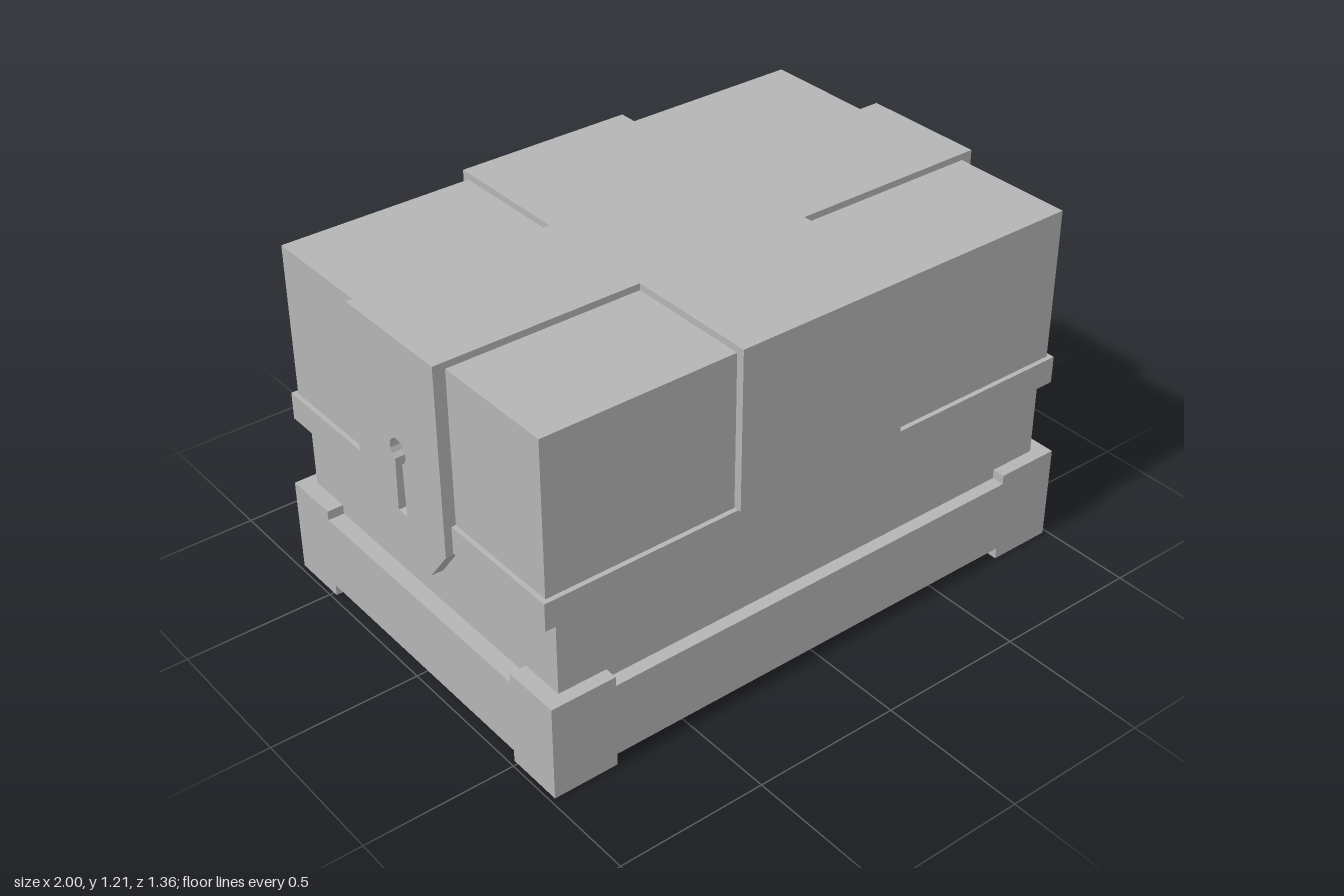
import * as THREE from 'three';

export function createModel() {
  const model = new THREE.Group();
  model.name = 'strappedChest';
  const stone = new THREE.MeshStandardMaterial({ color: 0xb4b4b4 });
  stone.name = 'plainGrey';

  const add = (name, geometry, parent = model) => {
    const mesh = new THREE.Mesh(geometry, stone);
    mesh.name = name;
    parent.add(mesh);
    return mesh;
  };
  // Box centred on the vertical axis, from half sizes and a height range
  const block = (name, hx, hz, y0, y1) => {
    const mesh = add(name, new THREE.BoxGeometry(hx * 2, y1 - y0, hz * 2));
    mesh.position.y = (y0 + y1) / 2;
    return mesh;
  };
  const outline = (points) => new THREE.Shape(points.map(([x, y]) => new THREE.Vector2(x, y)));
  const extrude = (shape, depth) =>
    new THREE.ExtrudeGeometry(shape, { depth, bevelEnabled: false, curveSegments: 6 });

  // Stacked body
  block('plinth', 0.985, 0.68, 0.04, 0.293);
  block('lowerBody', 0.93, 0.637, 0.293, 0.58);
  block('lidRim', 0.975, 0.653, 0.577, 0.67);
  block('lid', 0.96, 0.637, 0.67, 1.183);

  // Feet and raised plinth corners
  for (const sx of [-1, 1]) for (const sz of [-1, 1]) {
    for (const [name, y0, y1] of [['foot', 0, 0.04], ['plinthCorner', 0.293, 0.325]]) {
      block(name, 0.11, 0.098, y0, y1).position.set(sx * 0.875, (y0 + y1) / 2, sz * 0.582);
    }
  }

  // Cross of straps over the lid
  const a = 0.307, b = 0.215, x = 0.96, z = 0.637;
  const cross = outline([
    [a, z], [a, b], [x, b], [x, -b], [a, -b], [a, -z],
    [-a, -z], [-a, -b], [-x, -b], [-x, b], [-a, b], [-a, z],
  ]);
  const top = add('topStraps', extrude(cross, 0.022));
  top.rotation.x = -Math.PI / 2;
  top.position.y = 1.183;

  // Pointed strap ends on the long sides
  const pointed = extrude(outline([[-a, 1.205], [-a, 0.67], [0, 0.373], [a, 0.67], [a, 1.205]]), 0.027);
  // Rounded strap ends on the short sides, with a keyhole
  const rounded = outline([
    [-b, 1.205], [-b, 0.573], [-0.13, 0.46], [0, 0.42], [0.13, 0.46], [b, 0.573], [b, 1.205],
  ]);
  const keyhole = new THREE.Path();
  keyhole.moveTo(-0.022, 0.605);
  keyhole.lineTo(0.022, 0.605);
  keyhole.lineTo(0.018, 0.785);
  keyhole.absarc(0, 0.82, 0.04, -1.1, Math.PI + 1.1, false);
  keyhole.lineTo(-0.022, 0.605);
  rounded.holes.push(keyhole);
  const lockPlate = extrude(rounded, 0.04);

  for (const side of [0, 1]) {
    const pair = new THREE.Group();
    pair.name = side ? 'backAndRightStraps' : 'frontAndLeftStraps';
    pair.rotation.y = side * Math.PI;
    add('pointedStrap', pointed, pair).position.z = z;
    const plate = add('keyholeStrap', lockPlate, pair);
    plate.rotation.y = Math.PI / 2;
    plate.position.x = x;
    model.add(pair);
  }
  return model;
}
